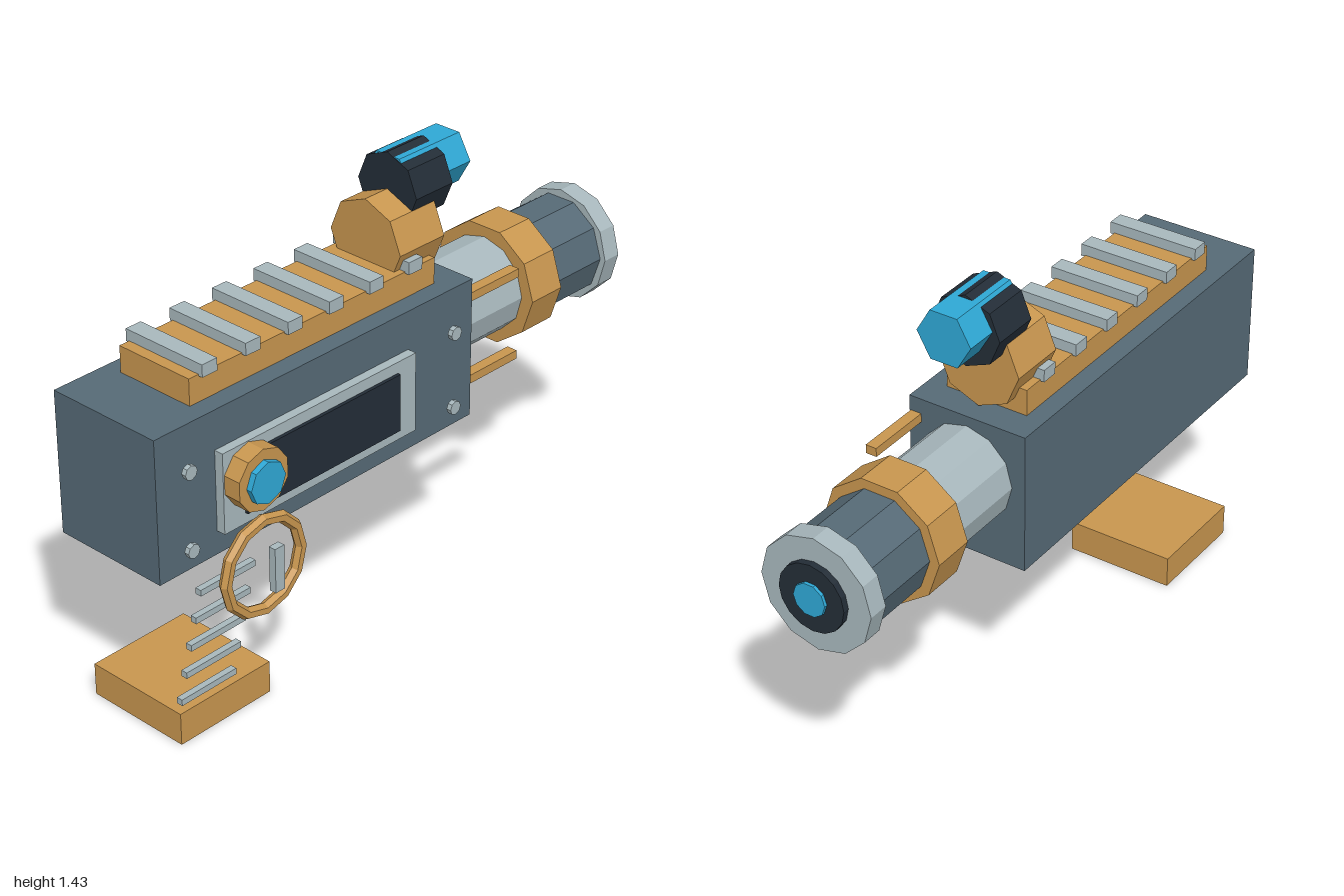
import * as THREE from 'three';

const paint = (name, color) => {
  const m = new THREE.MeshStandardMaterial({ color });
  m.name = name;
  m.flatShading = true;
  return m;
};

export function createModel() {
  const steel = paint('blue grey steel', 0x566a76);
  const brass = paint('brass', 0xc8964f);
  const silver = paint('silver', 0xa8b8bd);
  const dark = paint('dark', 0x232d37);
  const glow = paint('cyan glass', 0x2fa8d5);
  const group = new THREE.Group();
  const midZ = -0.05;

  const add = (name, geometry, material) => {
    const mesh = new THREE.Mesh(geometry, material);
    mesh.name = name;
    group.add(mesh);
    return mesh;
  };
  // Box given by its extents on each axis
  const box = (name, material, [x0, x1], [y0, y1], [z0, z1]) =>
    add(name, new THREE.BoxGeometry(x1 - x0, y1 - y0, z1 - z0), material)
      .position.set((x0 + x1) / 2, (y0 + y1) / 2, (z0 + z1) / 2);
  // Faceted cylinder lying along x, on the middle plane
  const tubeX = (name, material, x0, x1, y, r, sides) =>
    add(name, new THREE.CylinderGeometry(r, r, x1 - x0, sides).rotateZ(-Math.PI / 2), material)
      .position.set((x0 + x1) / 2, y, midZ);
  // Faceted cylinder lying along z
  const tubeZ = (name, material, x, y, z0, z1, r, sides) =>
    add(name, new THREE.CylinderGeometry(r, r, z1 - z0, sides).rotateX(Math.PI / 2), material)
      .position.set(x, y, (z0 + z1) / 2);

  // Main body
  box('body', steel, [-1, 0.265], [0.58, 1.036], [-0.248, 0.147]);

  // Top rail with cross slats
  box('topRail', brass, [-0.81, 0.168], [1.036, 1.12], [-0.188, 0.085]);
  for (let i = 0; i < 6; i++) {
    const x = -0.746 + i * 0.1634;
    box('railSlat', silver, [x - 0.028, x + 0.028], [1.115, 1.154], [-0.2, 0.1]);
  }

  // Sight on top
  tubeX('sightMount', brass, 0.02, 0.207, 1.178, 0.137, 8);
  tubeX('sightHousing', dark, 0.112, 0.266, 1.317, 0.114, 8);
  tubeX('sightLens', glow, 0.114, 0.37, 1.343, 0.09, 6);

  // Barrel
  tubeX('innerBarrel', silver, 0.2, 0.56, 0.85, 0.154, 12);
  tubeX('outerBarrel', steel, 0.56, 0.92, 0.85, 0.165, 10);
  tubeX('barrelRing', brass, 0.544, 0.678, 0.85, 0.197, 10);
  tubeX('muzzle', silver, 0.905, 0.97, 0.85, 0.184, 12);
  tubeX('muzzleBore', dark, 0.96, 0.99, 0.85, 0.109, 16);
  tubeX('muzzleLens', glow, 0.98, 1, 0.85, 0.053, 10);

  // Slim rods beside the barrel
  for (const y of [0.973, 0.696])
    box('sideRod', brass, [0.2, 0.48], [y - 0.014, y + 0.014], [0.107, 0.143]);

  // Side panel and dial
  box('panelFrame', silver, [-0.782, -0.01], [0.655, 0.912], [0.14, 0.177]);
  box('panelInset', dark, [-0.702, -0.086], [0.69, 0.876], [0.17, 0.188]);
  tubeZ('dial', brass, -0.685, 0.812, 0.177, 0.235, 0.097, 10);
  tubeZ('dialGem', glow, -0.685, 0.81, 0.23, 0.254, 0.066, 8);

  // Corner bolts standing off the side
  for (const x of [-0.926, 0.13])
    for (const y of [0.93, 0.683])
      tubeZ('bolt', silver, x, y, 0.193, 0.209, 0.022, 8);

  // Trigger guard ring and trigger
  add('triggerGuard', new THREE.TorusGeometry(0.147, 0.019, 6, 12), brass)
    .position.set(-0.65, 0.5, 0.189);
  box('trigger', silver, [-0.644, -0.608], [0.42, 0.565], [0.207, 0.231]);

  // Slanting row of grip ribs above the foot
  for (let i = 0; i < 5; i++) {
    const x = -0.825 + i * 0.0215, y = 0.15 + i * 0.0815;
    box('gripRib', silver, [x - 0.106, x + 0.106], [y - 0.01, y + 0.01], [0.119, 0.14]);
  }
  box('gripFoot', brass, [-0.93, -0.577], [0, 0.105], [-0.23, 0.13]);

  return group;
}
